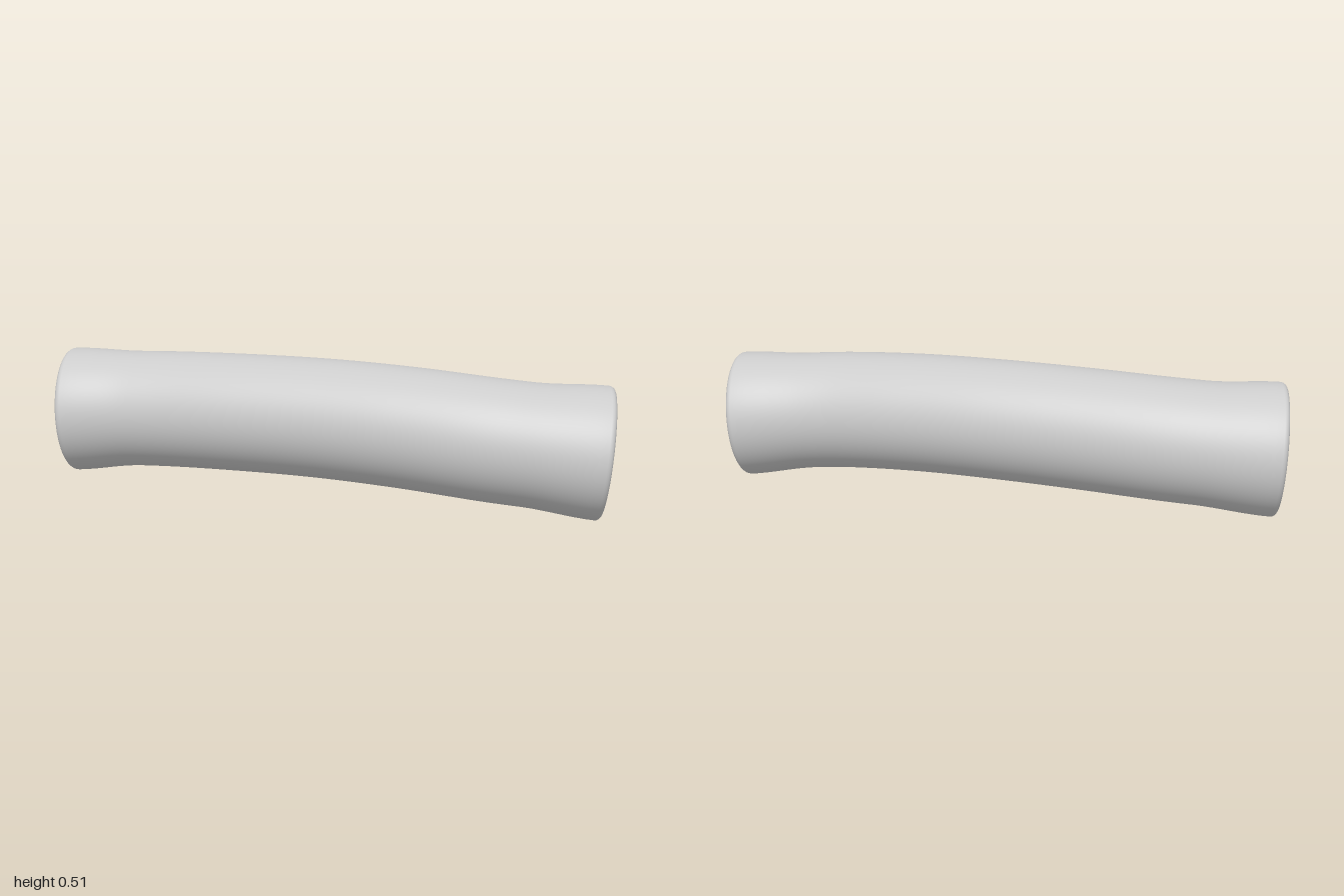
import * as THREE from 'three';
import { mergeVertices } from 'three/addons/utils/BufferGeometryUtils.js';

const LIP = 0.02; // rounded rim radius (half of the wall thickness at the ends)

// Centre line of the pipe: a gentle S in plan, slightly arched in height
const path = new THREE.CatmullRomCurve3([
  [-0.99, 0.27, -0.244], [-0.8, 0.279, -0.225], [-0.6, 0.287, -0.184],
  [-0.3, 0.296, -0.096], [0, 0.299, -0.003], [0.3, 0.292, 0.098],
  [0.6, 0.273, 0.19], [0.8, 0.257, 0.221], [0.99, 0.241, 0.24],
].map((p) => new THREE.Vector3(...p)));

// Closed wall profile (radius, distance along pipe): outside, lip, inside, lip
function wallProfile(length) {
  const flare = (s) => {
    const d = Math.min(s, length - s);
    return 1 - THREE.MathUtils.smoothstep(d, LIP, 0.28);
  };
  const points = [];
  const steps = 64;
  const along = (i) => LIP + (length - 2 * LIP) * i / steps;
  const lip = (s, start) => {
    for (let k = 1; k < 8; k++) {
      const a = start + Math.PI * k / 8;
      points.push(new THREE.Vector2(0.217 + LIP * Math.cos(a), s + LIP * Math.sin(a)));
    }
  };
  for (let i = 0; i <= steps; i++) {
    points.push(new THREE.Vector2(0.221 + 0.016 * flare(along(i)), along(i)));
  }
  lip(length - LIP, 0);
  for (let i = steps; i >= 0; i--) {
    points.push(new THREE.Vector2(0.187 + 0.01 * flare(along(i)), along(i)));
  }
  lip(LIP, Math.PI);
  points.push(points[0].clone());
  return points;
}

// Bend a shape standing on the y axis so that its axis follows the path
function bendAlongPath(geometry, length) {
  const pos = geometry.attributes.position;
  const up = new THREE.Vector3(0, 1, 0);
  for (let i = 0; i < pos.count; i++) {
    const t = THREE.MathUtils.clamp(pos.getY(i) / length, 0, 1);
    const tangent = path.getTangentAt(t);
    const a = up.clone().addScaledVector(tangent, -tangent.y).normalize();
    const b = a.clone().cross(tangent);
    const p = path.getPointAt(t).addScaledVector(a, pos.getX(i)).addScaledVector(b, pos.getZ(i));
    pos.setXYZ(i, p.x, p.y, p.z);
  }
}

export function createModel() {
  const group = new THREE.Group();
  group.name = 'curvedPipe';

  // Hollow pipe wall, open at both ends
  const length = path.getLength();
  let wall = new THREE.LatheGeometry(wallProfile(length), 72);
  wall.deleteAttribute('uv');
  wall.deleteAttribute('normal');
  bendAlongPath(wall, length);
  wall = mergeVertices(wall, 1e-5);
  wall.computeVertexNormals();

  const pipe = new THREE.Mesh(wall, new THREE.MeshStandardMaterial({ color: 0xcccccc }));
  pipe.name = 'pipeWall';
  group.add(pipe);
  return group;
}
